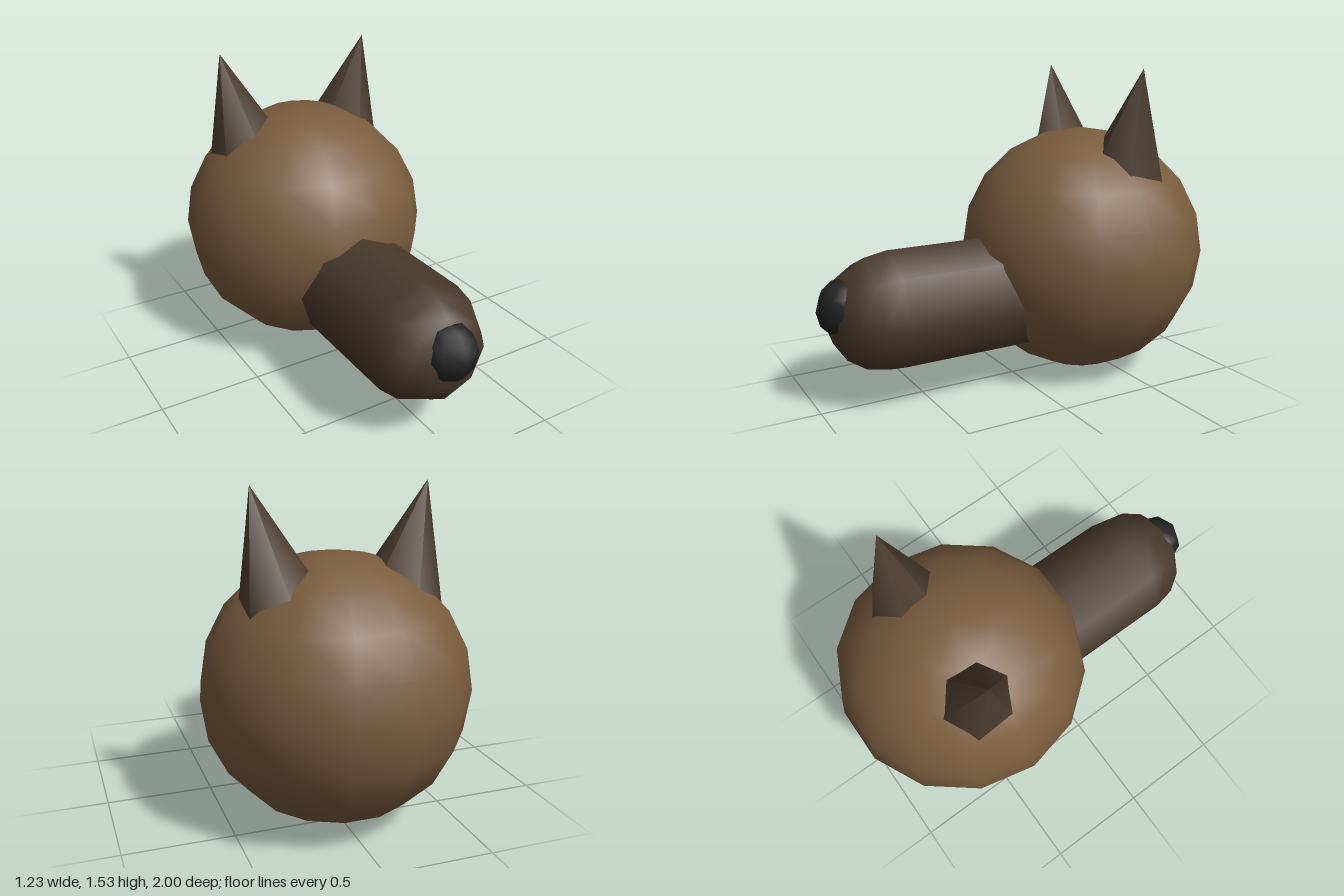
import * as THREE from 'three';

const material = (name, color) => {
  const m = new THREE.MeshStandardMaterial({ color });
  m.name = name;
  return m;
};

export function createModel() {
  const fur = material('brown fur', 0x7a5c3e);
  const darkFur = material('dark brown fur', 0x4a3a2c);
  const black = material('nose black', 0x222222);

  const model = new THREE.Group();
  model.name = 'animalHead';
  const add = (name, geometry, mat, x, y, z) => {
    const mesh = new THREE.Mesh(geometry, mat);
    mesh.name = name;
    mesh.position.set(x, y, z);
    model.add(mesh);
    return mesh;
  };

  // Round head
  add('head', new THREE.SphereGeometry(0.617, 14, 10), fur, 0, 0.62, -0.4);

  // Long eight-sided snout, its back end sunk into the head
  const snout = new THREE.CapsuleGeometry(0.29, 0.8, 4, 8).rotateX(Math.PI / 2);
  add('snout', snout, darkFur, 0, 0.44, 0.26);

  // Nose on the tip of the snout
  add('nose', new THREE.SphereGeometry(0.14, 8, 6), black, 0, 0.488, 0.86);

  // Pointed ears leaning outwards, placed by their tips
  const earHeight = 0.52;
  const ear = new THREE.ConeGeometry(0.197, earHeight, 6).translate(0, -earHeight / 2, 0);
  for (const side of [1, -1]) {
    const mesh = add(side > 0 ? 'leftEar' : 'rightEar', ear, darkFur, side * 0.4, 1.536, -0.466);
    mesh.rotation.set(0.02, 0, -side * 0.25);
  }

  return model;
}
